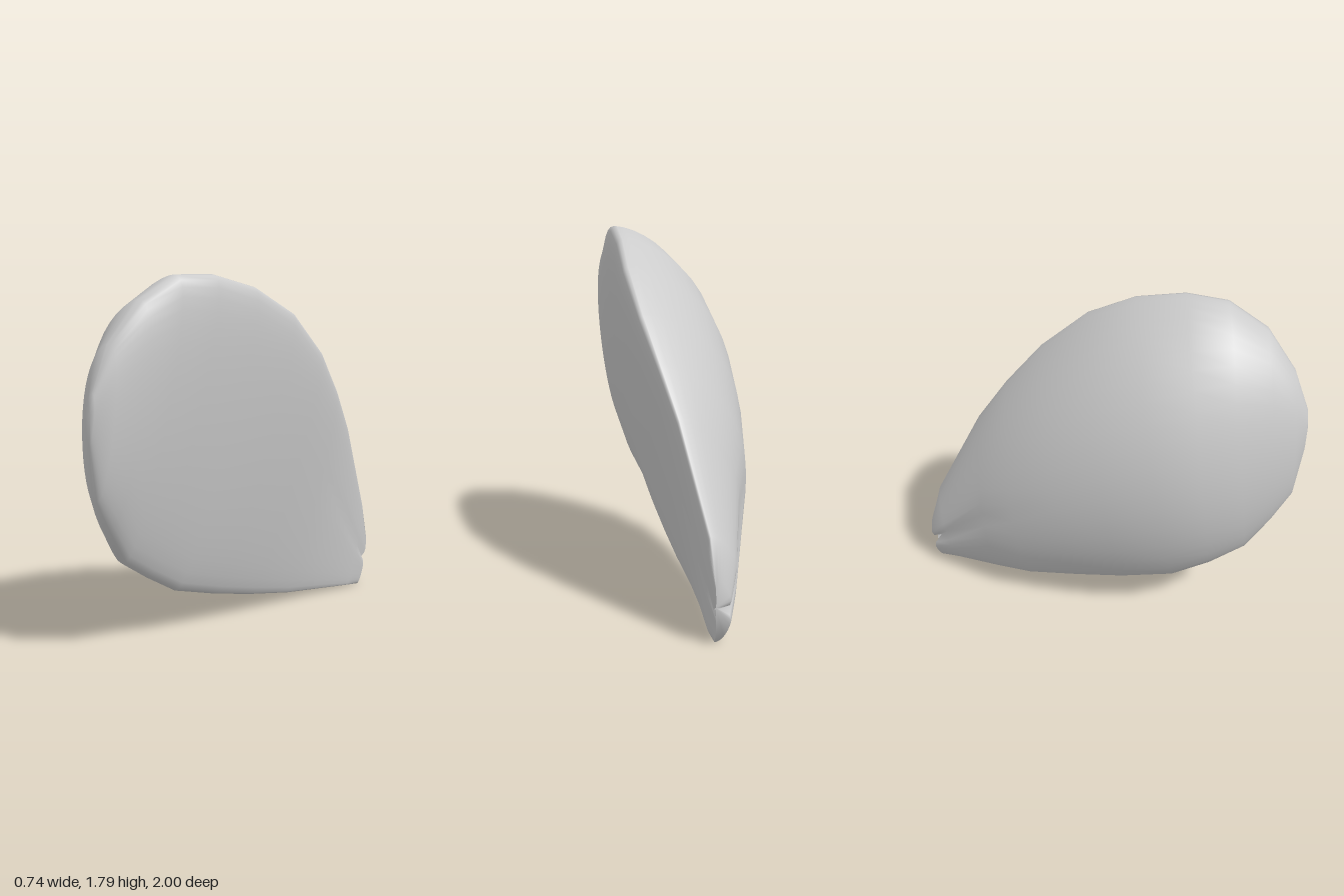
import * as THREE from 'three';

// Cross-sections from the narrow tip to the blunt end:
// upper rim z, y, x | lower rim z, y, x | bulge towards +x, bulge towards -x
const SECTIONS = [
  [-0.98, 0.31, 0.30, -0.94, 0.00, 0.28, 0.01, 0.07],
  [-0.94, 0.48, 0.30, -0.85, 0.01, 0.26, 0.02, 0.14],
  [-0.69, 0.95, 0.33, -0.62, 0.03, 0.18, 0.03, 0.27],
  [-0.53, 1.17, 0.345, -0.42, 0.05, 0.12, 0.04, 0.37],
  [-0.34, 1.39, 0.35, -0.15, 0.10, 0.06, 0.06, 0.45],
  [-0.10, 1.60, 0.32, 0.10, 0.155, 0.00, 0.08, 0.49],
  [0.14, 1.73, 0.25, 0.37, 0.23, -0.06, 0.09, 0.475],
  [0.38, 1.79, 0.18, 0.56, 0.34, -0.09, 0.10, 0.42],
  [0.58, 1.79, 0.11, 0.74, 0.45, -0.09, 0.11, 0.32],
  [0.77, 1.68, 0.05, 0.86, 0.62, -0.08, 0.12, 0.22],
  [0.91, 1.49, -0.01, 0.96, 0.78, -0.06, 0.08, 0.11],
  [0.99, 1.28, -0.03, 0.995, 1.05, -0.05, 0.02, 0.03],
];
const SEGMENTS = 40;

// Depth of the crease that splits the tip into two lobes
const CREASE = [0.7, 0.28, 0.05];

function sectionRing(section, index) {
  const [uz, uy, ux, lz, ly, lx, bulgeLeft, bulgeRight] = section;
  const upper = new THREE.Vector3(ux, uy, uz);
  const lower = new THREE.Vector3(lx, ly, lz);
  const crease = CREASE[index] ?? 0;
  const ramp = Math.min(1, index / 4);
  const ring = [];
  for (let j = 0; j < SEGMENTS; j++) {
    const a = (j / SEGMENTS) * Math.PI * 2;
    const c = Math.cos(a), s = Math.sin(a);
    // the widest line lies above the middle
    const skew = (s > 0 ? 0.12 : 0.2) * ramp;
    const p = lower.clone().lerp(upper, (1 + c + skew * s * s) / 2);
    const groove = crease * Math.exp(-((c / 0.12) ** 2));
    // the +x side is flatter with rounded borders, the -x side more ridged
    const side = s > 0 ? bulgeLeft * s ** 0.8 : -bulgeRight * (-s) ** 1.3;
    p.x += side * (1 - groove);
    if (index === 0) p.z += groove * 0.06 - 0.035 * Math.abs(s);
    ring.push(p);
  }
  return ring;
}

function lobeGeometry() {
  const rings = SECTIONS.map(sectionRing);
  const points = rings.flat();
  const indices = [];
  for (let i = 0; i < rings.length - 1; i++) {
    for (let j = 0; j < SEGMENTS; j++) {
      const k = (j + 1) % SEGMENTS;
      const a = i * SEGMENTS + j, b = i * SEGMENTS + k;
      const c = a + SEGMENTS, d = b + SEGMENTS;
      indices.push(a, c, b, b, c, d);
    }
  }
  // Close the notched tip and the blunt end with fans
  const tip = points.push(new THREE.Vector3(0.28, 0.16, -0.95)) - 1;
  const end = points.push(new THREE.Vector3(-0.04, 1.18, 1)) - 1;
  const last = (rings.length - 1) * SEGMENTS;
  for (let j = 0; j < SEGMENTS; j++) {
    const k = (j + 1) % SEGMENTS;
    indices.push(tip, j, k, end, last + k, last + j);
  }
  const geometry = new THREE.BufferGeometry().setFromPoints(points);
  geometry.setIndex(indices);
  geometry.computeVertexNormals();
  return geometry;
}

export function createModel() {
  const group = new THREE.Group();
  group.name = 'taperedLobe';
  const material = new THREE.MeshStandardMaterial({ color: 0xcccccc, side: THREE.DoubleSide });
  const body = new THREE.Mesh(lobeGeometry(), material);
  body.name = 'creasedBody';
  group.add(body);
  return group;
}
